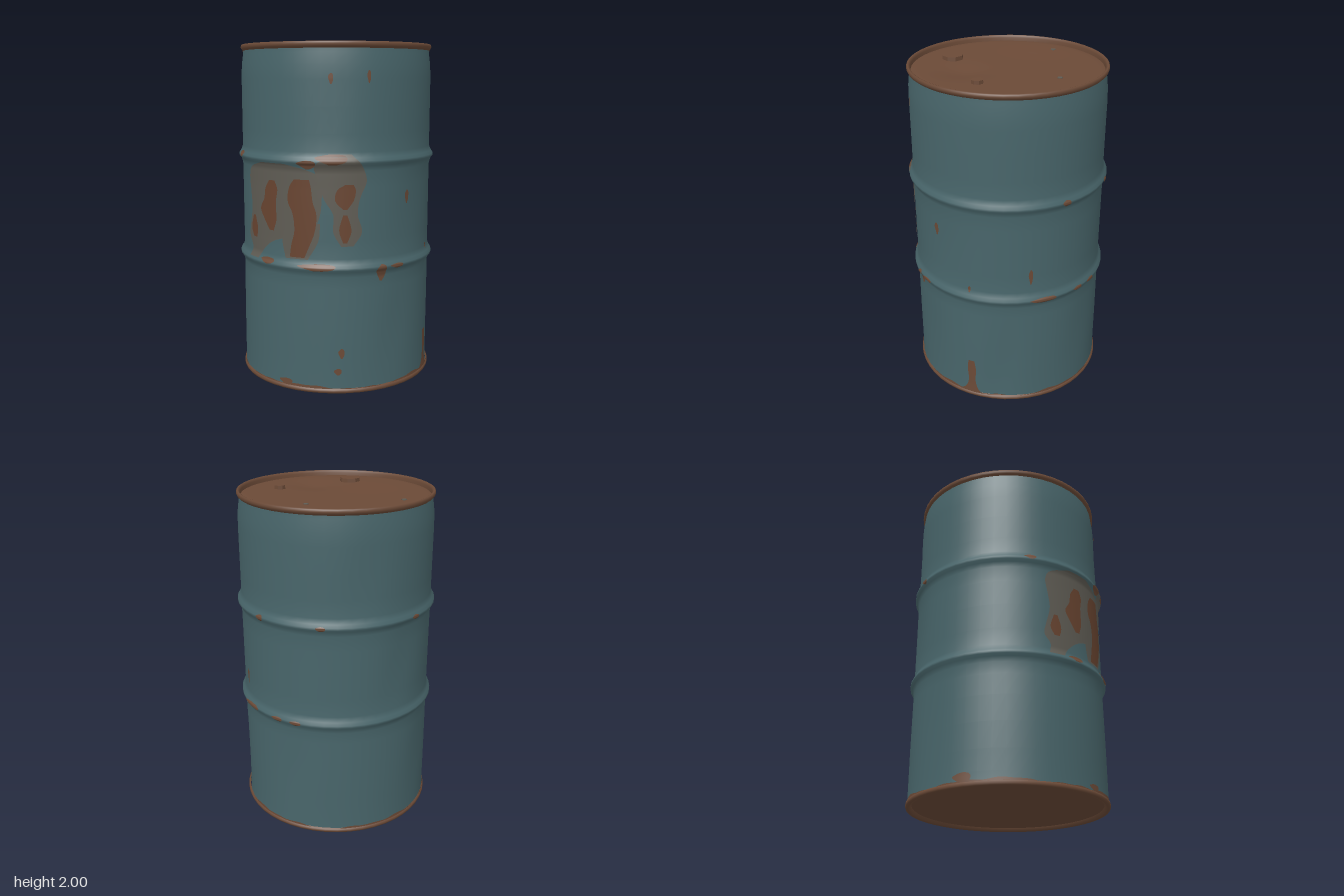
import * as THREE from 'three';

const paint = new THREE.MeshStandardMaterial({ color: 0x48656a });
paint.name = 'tealPaint';
const rust = new THREE.MeshStandardMaterial({ color: 0x6b4a37 });
rust.name = 'rust';
const deepRust = new THREE.MeshStandardMaterial({ color: 0x684430 });
deepRust.name = 'deepRust';
const stain = new THREE.MeshStandardMaterial({ color: 0x5f5c54 });
stain.name = 'paleStain';

const SIDES = 48;
const DEG = Math.PI / 180;

// Barrel wall profile as [radius, y], with two rolled ribs
const rib = (y) => [[0.578, y - 0.05], [0.588, y - 0.02], [0.6, y - 0.006], [0.6, y + 0.008], [0.588, y + 0.025], [0.577, y + 0.055]];
const wall = [[0.582, 0.015], [0.58, 0.08], [0.58, 0.2], [0.58, 0.35], [0.579, 0.5], [0.578, 0.62],
  ...rib(0.74), [0.577, 0.9], [0.577, 1.05], [0.577, 1.2], ...rib(1.345),
  [0.577, 1.5], [0.577, 1.65], [0.577, 1.8], [0.574, 1.88], [0.566, 1.94], [0.563, 1.975]];

// Soft dents: [angle, y, depth, angular width, height]
const dents = [[112, 0.22, 0.016, 6, 0.26], [60, 0.35, 0.01, 9, 0.2], [-127, 1.05, 0.012, 9, 0.18], [72, 1.05, 0.008, 14, 0.16],
  [-105, 0.4, 0.008, 9, 0.22], [-150, 1.6, 0.008, 10, 0.2], [20, 1.66, 0.005, 12, 0.2], [165, 0.4, 0.007, 10, 0.2]];

function wallRadius(theta, y) {
  let i = 1;
  while (i < wall.length - 1 && wall[i][1] < y) i++;
  const [r0, y0] = wall[i - 1], [r1, y1] = wall[i];
  let r = r0 + (r1 - r0) * THREE.MathUtils.clamp((y - y0) / (y1 - y0), 0, 1);
  for (const [a, dy, depth, w, h] of dents) {
    const d = Math.atan2(Math.sin(theta - a * DEG), Math.cos(theta - a * DEG)) / (w * DEG);
    r -= depth * Math.exp(-d * d - ((y - dy) / h) ** 2);
  }
  return r;
}

const polar = (r, theta, y) => [r * Math.sin(theta), y, r * Math.cos(theta)];

// Smooth surface from a grid of points; a closed grid wraps around its columns
function grid(cols, rows, closed, point) {
  const pos = [], index = [], n = closed ? cols : cols + 1;
  for (let j = 0; j <= rows; j++) for (let i = 0; i < n; i++) pos.push(...point(i / cols, j / rows, j));
  for (let j = 0; j < rows; j++) for (let i = 0; i < cols; i++) {
    const a = j * n + i, b = j * n + (i + 1) % n;
    index.push(a, b, b + n, a, b + n, a + n);
  }
  const g = new THREE.BufferGeometry();
  g.setAttribute('position', new THREE.Float32BufferAttribute(pos, 3));
  g.setIndex(index);
  g.computeVertexNormals();
  return g;
}

const turned = (profile, height = (x, y) => y) => grid(SIDES, profile.length - 1, true, (u, v, j) => {
  const p = polar(profile[j][0], u * Math.PI * 2, profile[j][1]);
  p[1] = height(p[0], p[1], p[2]);
  return p;
});

// Thin patch hugging the wall: rows of [y, left, right] measured across from a centre angle
function patch(angle, rows, lift) {
  const left = new THREE.CatmullRomCurve3(rows.map(([y, l]) => new THREE.Vector3(l, y, 0)));
  const right = new THREE.CatmullRomCurve3(rows.map(([y, , r]) => new THREE.Vector3(r, y, 0)));
  const span = rows[rows.length - 1][0] - rows[0][0], width = Math.max(...rows.map((r) => r[2] - r[1]));
  const steps = Math.max(rows.length * 3, Math.ceil(span / 0.015));
  return grid(Math.max(3, Math.ceil(width / 0.03)), steps, false, (u, v) => {
    const a = left.getPoint(v), b = right.getPoint(v);
    const theta = angle * DEG + Math.asin((a.x + (b.x - a.x) * u) / 0.58);
    const y = a.y + (b.y - a.y) * u;
    return polar(wallRadius(theta, y) + lift, theta, y);
  });
}

// Small ragged spot
const spot = (angle, y, w, h) => patch(angle, [[y - h, -w * 0.2, w * 0.2], [y - h * 0.4, -w * 0.6, w * 0.7],
  [y + h * 0.3, -w, w * 0.8], [y + h * 0.8, -w * 0.5, w * 0.6], [y + h, -w * 0.1, w * 0.1]], 0.004);

// Ragged rust edge running all the way round, between y0 and a wavy y1
const fringe = (y0, y1, wave) => grid(144, 4, true, (u, v) => {
  const t = u * Math.PI * 2;
  const edge = y1 + wave * (Math.sin(t * 5 + 1) + 0.7 * Math.sin(t * 11) + 0.5 * Math.sin(t * 23 + 2));
  const y = y0 + (edge - y0) * v;
  return polar(wallRadius(t, y) + 0.003, t, y);
});

export function createModel() {
  const model = new THREE.Group();
  const add = (name, geometry, material, parent = model) => {
    const mesh = new THREE.Mesh(geometry, material);
    mesh.name = name;
    parent.add(mesh);
    return mesh;
  };

  // Wall
  add('barrelWall', grid(SIDES, wall.length - 1, true, (u, v, j) => {
    const t = u * Math.PI * 2, y = wall[j][1];
    return polar(wallRadius(t, y), t, y);
  }), paint);

  // Rolled rims, lid and base
  add('topRim', turned([[0.562, 1.962], [0.574, 1.972], [0.579, 1.984], [0.577, 1.996], [0.57, 2], [0.562, 1.997], [0.557, 1.985], [0.555, 1.96]]), rust);
  add('bottomRim', turned([[0.555, 0.022], [0.562, 0.004], [0.575, 0], [0.588, 0.002], [0.592, 0.012], [0.59, 0.024], [0.58, 0.03]]), rust);
  const lidHeight = (x, y, z) => y
    - 0.02 * Math.exp(-(((x - 0.19) / 0.13) ** 2 + ((z - 0.2) / 0.13) ** 2))
    - 0.012 * Math.exp(-(((x + 0.1) / 0.3) ** 2 + ((z + 0.05) / 0.3) ** 2));
  const lidRows = [[0.557, 1.966], [0.535, 1.972]];
  for (let i = 11; i >= 0; i--) lidRows.push([0.5 * i / 11, 1.974]);
  add('lid', turned(lidRows, lidHeight), rust);
  add('base', turned([[0, 0.018], [0.28, 0.018], [0.52, 0.018], [0.557, 0.021]]), rust);

  // Bungs on the lid
  for (const [name, x, z, r] of [['largeBung', 0, 0.36, 0.064], ['smallBung', 0.35, 0.02, 0.035]]) {
    const bung = add(name, new THREE.CylinderGeometry(r * 0.96, r, 0.034, 8).toNonIndexed(), rust);
    bung.geometry.computeVertexNormals();
    bung.position.set(x, 1.976, z);
  }

  // Paint flecks left on the lid
  for (const [x, z] of [[0.08, -0.35], [-0.42, -0.11]]) {
    const fleck = add('paintFleck', new THREE.CylinderGeometry(0.015, 0.015, 0.006, 7), stain);
    fleck.position.set(x, lidHeight(x, 1.974, z) + 0.001, z);
  }

  // Rust creeping from the rims
  const wear = new THREE.Group();
  wear.name = 'wear';
  model.add(wear);
  add('bottomFringe', fringe(0.016, 0.034, 0.006), rust, wear);
  add('topFringe', fringe(1.974, 1.962, -0.003).scale(1, 1, 1), new THREE.MeshStandardMaterial().copy(rust), wear).material = rust;

  // Worn area on the front
  add('frontStain', patch(0, [[0.76, -0.34, -0.26], [0.82, -0.33, -0.22], [0.88, -0.36, -0.14], [0.95, -0.35, 0.1],
    [1.05, -0.33, 0.15], [1.15, -0.34, 0.16], [1.24, -0.35, 0.18], [1.29, -0.33, 0.1], [1.33, -0.22, -0.06]], 0.003), stain, wear);
  add('middleStain', patch(0, [[0.79, -0.06, 0.08], [0.9, -0.08, 0.14], [1.0, -0.05, 0.15]], 0.004), stain, wear);
  add('rightStain', patch(0, [[0.87, 0.26, 0.32], [0.95, 0.22, 0.36], [1.05, 0.22, 0.34], [1.14, 0.17, 0.35],
    [1.24, 0.14, 0.38], [1.32, 0.12, 0.36], [1.39, 0.22, 0.31]], 0.0035), stain, wear);

  // Bare rust streaks inside the worn area
  const streaks = [
    [[0.8, -0.03, 0.06], [0.87, -0.02, 0.09], [0.95, 0.0, 0.12], [1.05, -0.01, 0.13], [1.12, -0.04, 0.11], [1.2, -0.03, 0.1], [1.245, 0.0, 0.09]],
    [[0.94, -0.17, -0.14], [1.0, -0.21, -0.12], [1.06, -0.24, -0.12], [1.12, -0.21, -0.12], [1.18, -0.2, -0.11], [1.23, -0.17, -0.13]],
    [[0.88, -0.31, -0.28], [0.93, -0.33, -0.27], [1.01, -0.31, -0.29]],
    [[1.08, 0.27, 0.29], [1.13, 0.23, 0.32], [1.19, 0.24, 0.33], [1.22, 0.28, 0.32]],
    [[0.89, 0.27, 0.29], [0.96, 0.25, 0.31], [1.05, 0.27, 0.29]],
  ];
  for (const rows of streaks) add('rustStreak', patch(0, rows, 0.007), deepRust, wear);

  // Long streak at the foot of the left side
  add('footStreak', patch(92, [[0.02, -0.09, 0.07], [0.06, -0.04, 0.04], [0.12, -0.02, 0.025], [0.2, -0.025, 0.03], [0.27, -0.02, 0.02]], 0.004), rust, wear);

  // Scattered spots: angle, y, half width, half height
  const spots = [[21, 1.8, 0.016, 0.03], [42, 1.81, 0.012, 0.035], [27, 0.24, 0.02, 0.03], [25, 0.13, 0.025, 0.02],
    [50, 0.71, 0.035, 0.05], [69, 1.13, 0.018, 0.04], [128, 0.9, 0.014, 0.05], [136, 0.74, 0.09, 0.018], [159, 0.74, 0.04, 0.015],
    [148, 1.345, 0.03, 0.02], [171, 0.74, 0.04, 0.015], [-117, 1.345, 0.03, 0.015], [-174, 1.345, 0.03, 0.015],
    [-83, 0.05, 0.06, 0.03], [-46, 1.36, 0.04, 0.018], [14, 0.75, 0.12, 0.02], [-18, 0.76, 0.06, 0.018], [92, 0.8, 0.01, 0.02],
    [8, 1.33, 0.06, 0.025], [22, 1.36, 0.1, 0.03], [-6, 0.045, 0.05, 0.02], [60, 0.74, 0.05, 0.014]];
  for (const [a, y, w, h] of spots) add('rustSpot', spot(a, y, w, h), rust, wear);

  return model;
}
